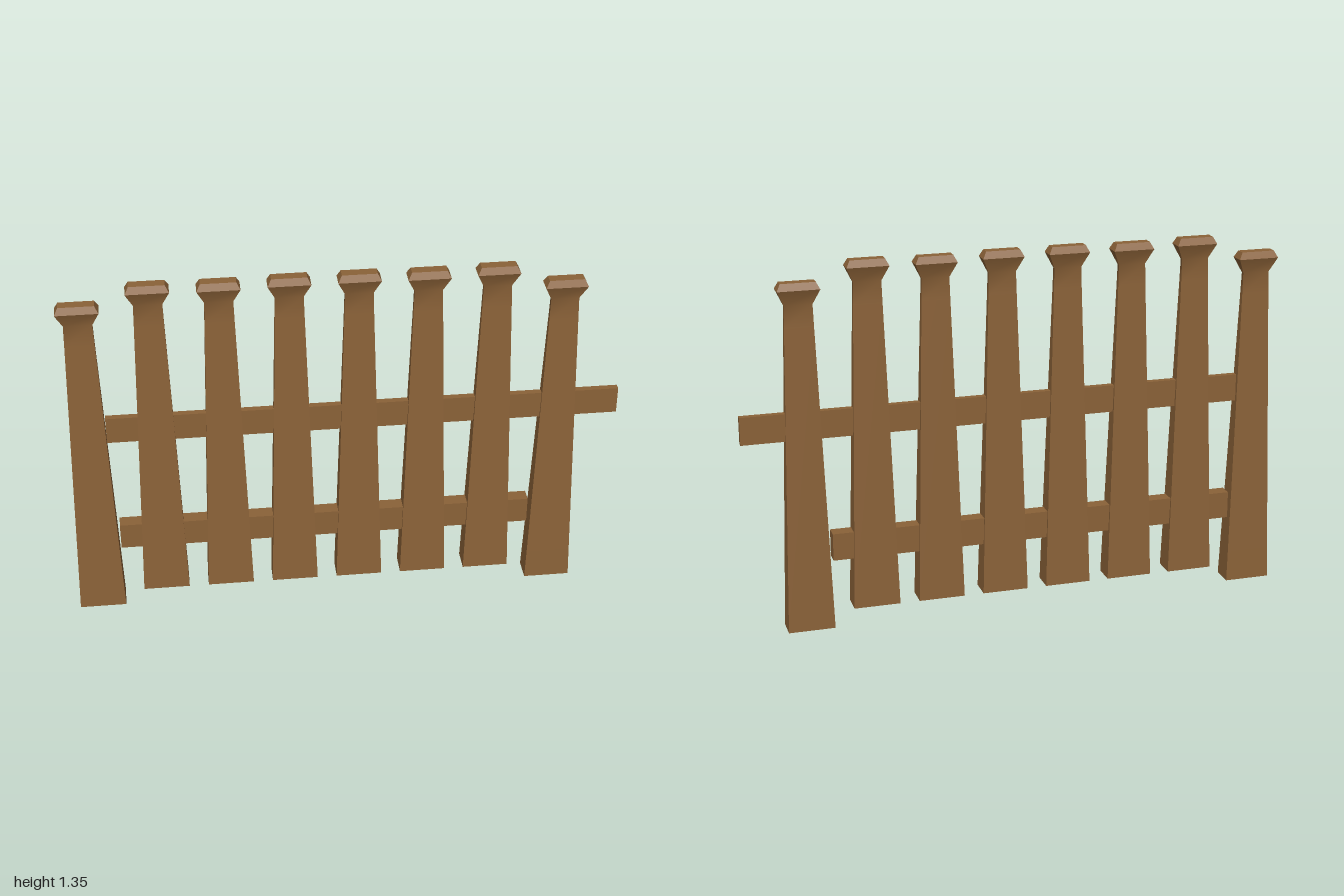
import * as THREE from 'three';
import { toCreasedNormals } from 'three/addons/utils/BufferGeometryUtils.js';

const wood = new THREE.MeshStandardMaterial({ color: 0x8b6238 });

// Cross-sections of a board: height, half width, half depth
const RINGS = [
  [0, 0.085, 0.042],
  [1.12, 0.052, 0.0095],
  [1.2, 0.05, 0.007],
  [1.255, 0.075, 0.03],
  [1.28, 0.062, 0.019],
];

// Tapered board with a narrow neck and a flared, bevelled cap
function boardGeometry() {
  const steps = RINGS.length - 1;
  const geo = new THREE.BoxGeometry(2, 1, 2, 1, steps, 1);
  const pos = geo.attributes.position;
  for (let i = 0; i < pos.count; i++) {
    const [y, w, d] = RINGS[Math.round((pos.getY(i) + 0.5) * steps)];
    pos.setXYZ(i, pos.getX(i) * w, y, pos.getZ(i) * d);
  }
  return toCreasedNormals(geo, 0.55);
}

// Horizontal rail given by its x and y limits and its depth
function rail(name, x0, x1, y0, y1, depth) {
  const mesh = new THREE.Mesh(new THREE.BoxGeometry(x1 - x0, y1 - y0, depth), wood);
  mesh.name = name;
  mesh.position.set((x0 + x1) / 2, (y0 + y1) / 2, 0);
  return mesh;
}

export function createModel() {
  const fence = new THREE.Group();
  fence.name = 'picketFence';

  // End posts stand on the ground, pickets hang slightly above it
  const geo = boardGeometry();
  const count = 8;
  for (let i = 0; i < count; i++) {
    const isPost = i === 0 || i === count - 1;
    const board = new THREE.Mesh(geo, wood);
    board.name = isPost ? 'endPost' : 'picket' + i;
    board.position.set(-0.915 + i * 0.242, isPost ? 0 : 0.066, 0);
    // Two of the pickets are a touch shorter
    if (i === 2 || i === 5) board.scale.y = 0.997;
    fence.add(board);
  }

  // Rails: the upper one is thin and runs on past the last post
  fence.add(rail('upperRail', -0.85, 1.0, 0.715, 0.816, 0.024));
  fence.add(rail('lowerRail', -0.83, 0.69, 0.255, 0.356, 0.052));

  return fence;
}
